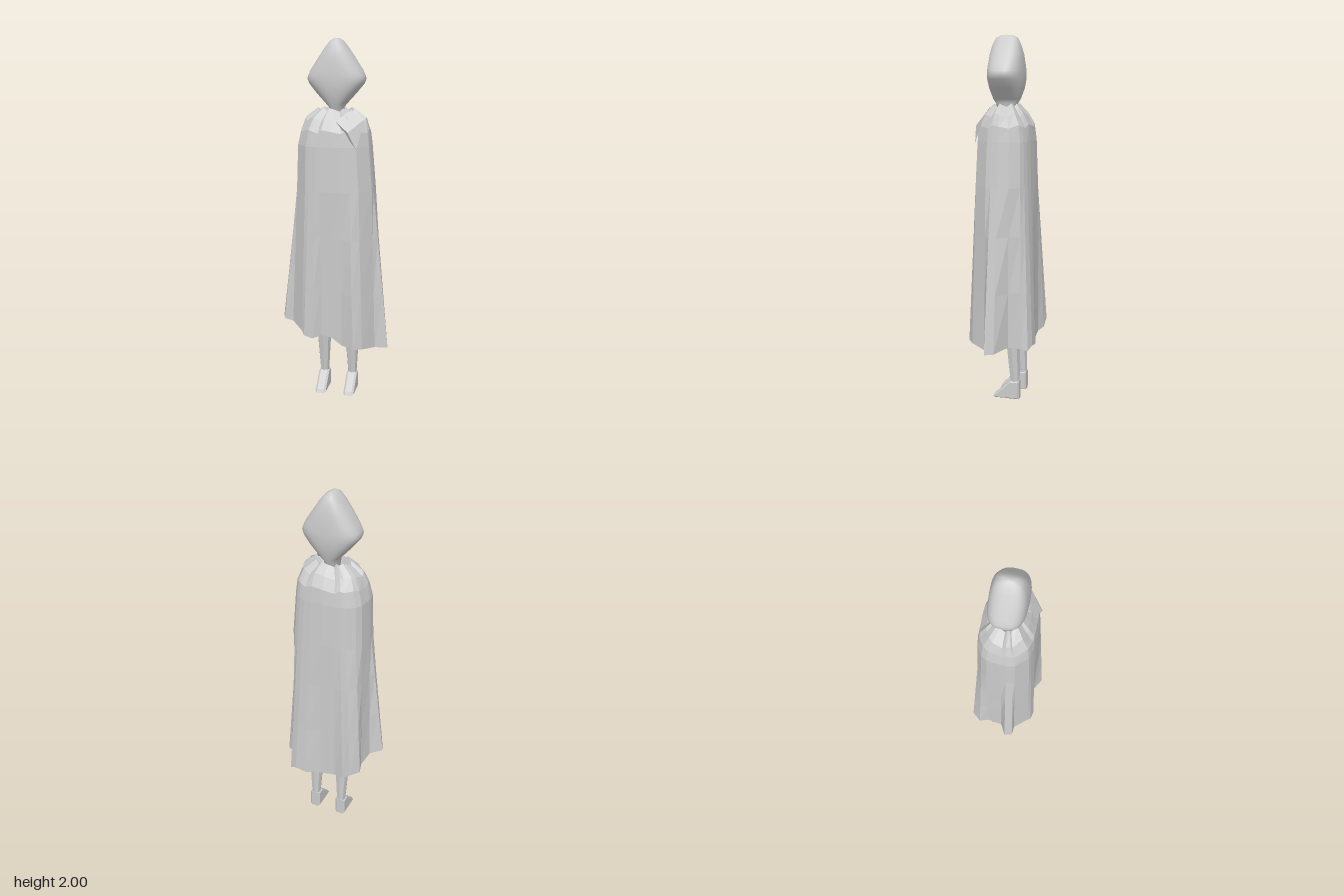
import * as THREE from 'three';

const material = (opts) => new THREE.MeshStandardMaterial({ color: 0xcccccc, ...opts });

// Skin a stack of closed rings, listed top to bottom, clockwise from above.
function loft(rings) {
  const n = rings[0].length;
  const index = [];
  for (let i = 0; i < rings.length - 1; i++) {
    for (let j = 0; j < n; j++) {
      const k = (j + 1) % n;
      const a = i * n + j, b = i * n + k, c = a + n, d = b + n;
      index.push(a, b, d, a, d, c);
    }
  }
  const geometry = new THREE.BufferGeometry();
  geometry.setAttribute('position', new THREE.Float32BufferAttribute(rings.flat(2), 3));
  geometry.setIndex(index);
  geometry.computeVertexNormals();
  return geometry;
}

// Point on a rounded-rectangle outline.
function outline(angle, rx, rz, power) {
  const c = Math.cos(angle), s = Math.sin(angle);
  const r = (Math.abs(c) ** power + Math.abs(s) ** power) ** (-1 / power);
  return [rx * r * c, rz * r * s];
}

function ring(sides, y, rx, rz, power = 2, cx = 0, cz = 0) {
  return Array.from({ length: sides }, (_, i) => {
    const [x, z] = outline((i / sides) * Math.PI * 2, rx, rz, power);
    return [x + cx, y, z + cz];
  });
}

function add(group, name, geometry, mat) {
  const mesh = new THREE.Mesh(geometry, mat);
  mesh.name = name;
  group.add(mesh);
  return mesh;
}

// Hem of the cloak: x, y, z around the folds, starting at the back right.
const HEM = [
  [-0.19, 0.40, -0.185], [-0.14, 0.36, -0.18], [-0.085, 0.35, -0.16], [0, 0.34, -0.165],
  [0.09, 0.33, -0.187], [0.155, 0.34, -0.185], [0.195, 0.32, -0.17], [0.205, 0.33, -0.135],
  [0.20, 0.33, -0.06], [0.29, 0.315, -0.005], [0.30, 0.31, 0.045], [0.23, 0.315, 0.065],
  [0.175, 0.33, 0.15], [0.13, 0.335, 0.182], [0.06, 0.34, 0.145], [0, 0.38, 0.14],
  [-0.055, 0.39, 0.14], [-0.10, 0.38, 0.175], [-0.15, 0.39, 0.165], [-0.165, 0.41, 0.15],
  [-0.235, 0.44, 0.08], [-0.285, 0.45, 0.078], [-0.30, 0.46, 0.035], [-0.235, 0.44, 0],
  [-0.215, 0.41, -0.08], [-0.23, 0.40, -0.135],
];

function cloakGeometry() {
  // y, x radius, z radius, squareness, x shift, uneven lift
  const upper = [
    [1.57, 0.05, 0.05, 2, 0, 0],
    [1.63, 0.10, 0.065, 2, 0, 0.01],
    [1.58, 0.165, 0.105, 2.4, 0, 0.012],
    [1.52, 0.185, 0.138, 2.8, -0.003, 0.01],
    [1.44, 0.198, 0.146, 3, -0.008, 0],
    [1.20, 0.212, 0.155, 3, -0.002, 0],
  ];
  const rings = upper.map(([y, rx, rz, power, cx, lift]) => HEM.map(([hx, , hz], i) => {
    const [x, z] = outline(Math.atan2(hz / 0.16, hx / 0.23), rx, rz, power);
    return [x + cx, y + lift * Math.sin(i * 2.1), z];
  }));
  // Folds deepen steadily from the chest to the hem.
  const chest = rings[rings.length - 1];
  for (const t of [0.3, 0.65, 1]) {
    rings.push(chest.map((p, i) => p.map((v, axis) => THREE.MathUtils.lerp(v, HEM[i][axis], t))));
  }
  return loft(rings);
}

// Pointed lapel lying on the chest
function lapelGeometry() {
  const geometry = new THREE.BufferGeometry();
  geometry.setAttribute('position', new THREE.Float32BufferAttribute([
    0.02, 1.575, 0.12, 0.09, 1.63, 0.06, 0.165, 1.585, 0.075, 0.135, 1.43, 0.14, 0.09, 1.52, 0.148,
  ], 3));
  geometry.setIndex([0, 4, 1, 4, 2, 1, 4, 3, 2, 0, 3, 4]);
  geometry.computeVertexNormals();
  return geometry;
}

function footGeometry() {
  const side = new THREE.Shape([[0.095, 0], [-0.055, 0], [-0.045, 0.02], [0.045, 0.105], [0.095, 0.105]]
    .map(([u, v]) => new THREE.Vector2(u, v)));
  const geometry = new THREE.ExtrudeGeometry(side, {
    depth: 0.038, bevelEnabled: true, bevelThickness: 0.011, bevelSize: 0.008, bevelOffset: -0.008, bevelSegments: 1,
  });
  geometry.translate(0, 0, -0.019);
  geometry.rotateY(Math.PI / 2); // profile runs along the foot
  geometry.scale(1, 1, 1);
  return geometry;
}

export function createModel() {
  const model = new THREE.Group();
  model.name = 'cloakedFigure';
  const faceted = material({ flatShading: true });
  const cloth = material({ flatShading: true, side: THREE.DoubleSide });

  // Diamond-shaped head with softened edges, ending in a short neck
  const headRings = [
    [2.0, 0.001, 0.001], [1.998, 0.014, 0.032], [1.985, 0.034, 0.058], [1.95, 0.062, 0.074],
    [1.90, 0.096, 0.087], [1.84, 0.136, 0.092], [1.81, 0.151, 0.094], [1.79, 0.157, 0.094],
    [1.765, 0.147, 0.094], [1.72, 0.110, 0.090], [1.66, 0.055, 0.073], [1.64, 0.038, 0.06],
    [1.56, 0.03, 0.035],
  ].map(([y, rx, rz]) => ring(40, y, rx, rz, 2.8));
  add(model, 'head', loft(headRings), material());

  add(model, 'cloak', cloakGeometry(), cloth);
  add(model, 'lapel', lapelGeometry(), cloth);

  // Legs taper to the ankle, feet point forward
  for (const [name, x] of [['left', 0.077], ['right', -0.087]]) {
    const out = Math.sign(x);
    const leg = loft([
      ring(8, 0.95, 0.055, 0.055, 2.5, x + out * 0.005, -0.04),
      ring(8, 0.36, 0.042, 0.041, 2.5, x, -0.054),
      ring(8, 0.09, 0.024, 0.026, 2.5, x, -0.069),
    ]);
    add(model, name + 'Leg', leg, faceted);
    add(model, name + 'Foot', footGeometry(), faceted).position.set(x, 0, 0);
  }
  return model;
}
